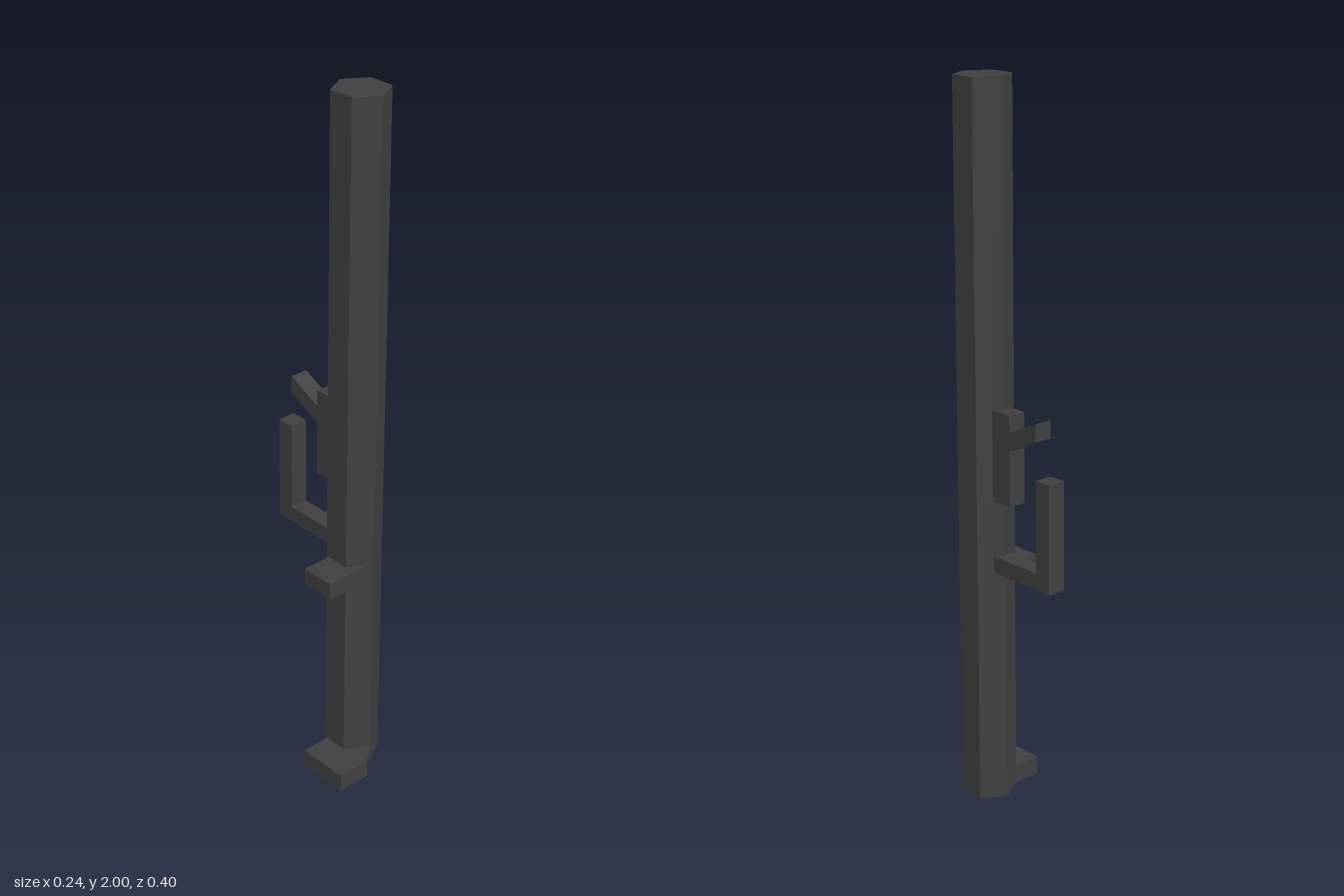
import * as THREE from 'three';

const darkMetal = new THREE.MeshStandardMaterial({ color: 0x404040 });
darkMetal.name = 'darkMetal';

const POLE_X = 0.038, POLE_Z = 0.08;

function part(name, geometry) {
  const mesh = new THREE.Mesh(geometry, darkMetal);
  mesh.name = name;
  return mesh;
}

function extrude(points, depth) {
  const shape = new THREE.Shape(points.map(([a, b]) => new THREE.Vector2(a, b)));
  return new THREE.ExtrudeGeometry(shape, { depth, bevelEnabled: false });
}

// Outline in [x, z], raised from y0 to y1
function slab(name, outline, y0, y1) {
  const geometry = extrude(outline.map(([x, z]) => [x, -z]), y1 - y0);
  return part(name, geometry.rotateX(-Math.PI / 2).translate(0, y0, 0));
}

// Side outline in [z, y], given a width across x, centred on the pole
function sideProfile(name, outline, width = 0.052) {
  const geometry = extrude(outline.map(([z, y]) => [-z, y]), width);
  return part(name, geometry.rotateY(Math.PI / 2).translate(POLE_X + 0.002 - width / 2, 0, 0));
}

export function createModel() {
  const model = new THREE.Group();
  model.name = 'hookedPole';

  // Hexagonal pole
  const hexagon = new THREE.CylinderGeometry(0.077, 0.077, 2, 6).toNonIndexed();
  hexagon.computeVertexNormals();
  const pole = part('pole', hexagon);
  pole.position.set(POLE_X, 1, POLE_Z);
  model.add(pole);

  // Foot with a cut corner, and the small bracket above it
  model.add(slab('foot', [[-0.115, 0.049], [-0.115, 0.202], [-0.015, 0.202], [0.038, 0.152], [0.038, 0.049]], 0, 0.053));
  model.add(slab('sideBracket', [[-0.115, 0.049], [-0.115, 0.151], [0.032, 0.151], [0.032, 0.049]], 0.623, 0.672));

  // Upright hook on the back
  model.add(sideProfile('backHook', [
    [0.02, 0.675], [-0.203, 0.675], [-0.203, 0.98], [-0.152, 0.98], [-0.152, 0.722], [0.02, 0.722],
  ]));

  // Back plate with its raised arm
  model.add(sideProfile('backPlate', [[0.02, 0.88], [-0.048, 0.88], [-0.048, 1.132], [0.02, 1.132]]));
  model.add(sideProfile('raisedArm', [[-0.046, 1.034], [-0.151, 1.084], [-0.151, 1.134], [-0.046, 1.084]]));

  // The whole pole leans and turns very slightly
  model.rotation.set(0, -0.018, -0.0065);
  const root = new THREE.Group();
  root.name = 'model';
  root.add(model);
  return root;
}
